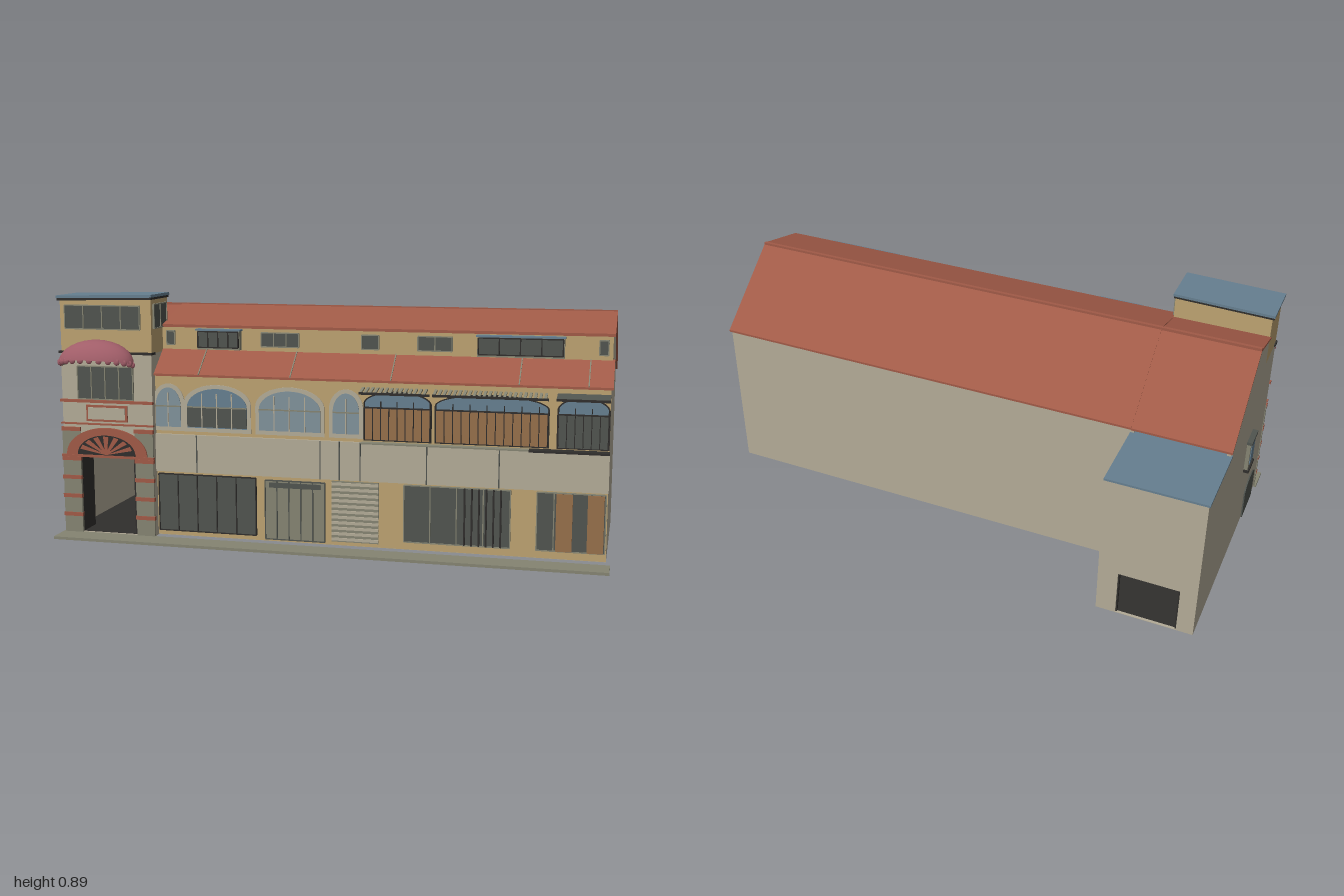
import * as THREE from 'three';

const M = {};
for (const [name, color] of Object.entries({
  cream: 0xb3ab97, tan: 0xbca271, tile: 0xa05a47, slate: 0x667f90, glass: 0x50544f,
  stone: 0x858472, canopy: 0xa05d68, wood: 0x966f4a, charcoal: 0x302e2c, paleGlass: 0x80929b,
})) {
  M[name] = new THREE.MeshStandardMaterial({ color, name });
}
M.canopy.side = THREE.DoubleSide;

export function createModel() {
  const root = new THREE.Group();

  const add = (name, geo, mat, parent = root) => {
    const m = new THREE.Mesh(geo, mat);
    m.name = name;
    parent.add(m);
    return m;
  };
  // Box given by its extents
  const box = (name, mat, x0, x1, y0, y1, z0, z1, parent = root) => {
    const m = add(name, new THREE.BoxGeometry(x1 - x0, y1 - y0, z1 - z0), mat, parent);
    m.position.set((x0 + x1) / 2, (y0 + y1) / 2, (z0 + z1) / 2);
    return m;
  };
  const poly = (pts) => new THREE.Shape(pts.map((p) => new THREE.Vector2(...p)));
  const extrude = (shape, depth) =>
    new THREE.ExtrudeGeometry(shape, { depth, bevelEnabled: false, curveSegments: 12 });
  // Side profile of [z, y] points, extruded along x
  const prism = (name, mat, pts, x0, x1) => {
    const m = add(name, extrude(poly(pts), x1 - x0).rotateY(-Math.PI / 2), mat);
    m.position.x = x1;
    return m;
  };
  const roofSlab = (name, x0, x1, a, b, t = 0.008) =>
    prism(name, M.tile, [a, b, [b[0], b[1] + t], [a[0], a[1] + t]], x0, x1);
  // Front-facing plate from a shape
  const plate = (name, mat, shape, z, t) => {
    const m = add(name, extrude(shape, t), mat);
    m.position.z = z;
    return m;
  };
  const arch = (x0, x1, y0, ys, y1) => {
    const s = new THREE.Shape();
    const cx = (x0 + x1) / 2;
    s.moveTo(x0, y0);
    s.lineTo(x1, y0);
    s.lineTo(x1, ys);
    s.absellipse(cx, ys, (x1 - x0) / 2, y1 - ys, 0, Math.PI, false, 0);
    s.lineTo(x0, y0);
    return s;
  };
  const rectHole = (x0, x1, y0, y1) => poly([[x0, y0], [x0, y1], [x1, y1], [x1, y0]]);
  // Framed window centred on its group origin, facing +z
  const win = (name, x0, x1, y0, y1, z, n, glass = M.glass, frame = M.stone) => {
    const g = new THREE.Group();
    const w = x1 - x0, h = y1 - y0, f = 0.004;
    g.name = name;
    g.position.set((x0 + x1) / 2, (y0 + y1) / 2, z);
    box('pane', glass, -w / 2, w / 2, -h / 2, h / 2, 0, 0.004, g);
    for (let i = 0; i <= n; i++) {
      const x = -w / 2 + (w * i) / n;
      box('mullion', frame, x - f / 2, x + f / 2, -h / 2, h / 2, 0, 0.007, g);
    }
    for (const y of [-h / 2, h / 2]) box('rail', frame, -w / 2, w / 2, y - f / 2, y + f / 2, 0, 0.007, g);
    root.add(g);
    return g;
  };

  // Pavement
  box('pavement', M.stone, -0.99, 1.0, 0, 0.01, 0.4, 0.49);

  // Main hall
  prism('mainBody', M.cream, [[-0.22, 0.01], [0.365, 0.01], [0.365, 0.6], [0.285, 0.68],
    [0.285, 0.77], [0.075, 0.828], [-0.22, 0.597]], -0.63, 0.985);
  box('frontWall', M.tan, -0.63, 0.985, 0.012, 0.6, 0.36, 0.37);
  box('upperWall', M.tan, -0.63, 0.985, 0.68, 0.77, 0.28, 0.288);
  roofSlab('rearRoof', -0.63, 0.992, [-0.226, 0.597], [0.075, 0.83]);
  roofSlab('frontRoof', -0.63, 0.992, [0.075, 0.83], [0.296, 0.769], 0.01);
  roofSlab('skirtRoof', -0.63, 0.992, [0.285, 0.683], [0.382, 0.6]);
  box('ridge', M.tile, -0.985, 0.992, 0.832, 0.842, 0.069, 0.081);
  for (const x of [-0.46, -0.12, 0.24, 0.68, 0.91]) {
    prism('roofSeam', M.stone, [[0.287, 0.689], [0.382, 0.608], [0.382, 0.612], [0.287, 0.693]], x, x + 0.004);
  }

  // Balcony band with panel joints
  box('balconyBand', M.cream, -0.63, 0.987, 0.25, 0.388, 0.365, 0.38);
  for (const x of [-0.47, -0.01, 0.06, 0.135, 0.37, 0.62]) {
    box('bandJoint', M.glass, x - 0.002, x + 0.002, 0.25, 0.388, 0.38, 0.382);
  }
  box('balconyLedge', M.charcoal, 0.72, 0.987, 0.385, 0.392, 0.37, 0.41);
  box('balconyLedge', M.stone, 0.14, 0.72, 0.386, 0.391, 0.37, 0.4);

  // Ground-floor shopfronts
  win('shopWindow', -0.62, -0.25, 0.03, 0.24, 0.37, 5, M.glass, M.charcoal);
  win('shopDoor', -0.215, 0.005, 0.02, 0.235, 0.37, 5, M.stone, M.glass);
  box('shopDoorHead', M.glass, -0.2, -0.01, 0.21, 0.228, 0.37, 0.379);
  box('rollShutter', M.stone, 0.03, 0.2, 0.025, 0.245, 0.37, 0.374);
  for (let i = 0; i < 11; i++) {
    box('shutterSlat', M.cream, 0.03, 0.2, 0.03 + i * 0.02, 0.04 + i * 0.02, 0.37, 0.378);
  }
  win('shopWindow', 0.29, 0.66, 0.04, 0.243, 0.37, 4);
  for (let i = 0; i < 6; i++) {
    box('gateBar', M.charcoal, 0.5 + i * 0.025, 0.506 + i * 0.025, 0.04, 0.243, 0.37, 0.379);
  }
  win('shopDoors', 0.75, 0.98, 0.04, 0.243, 0.37, 4);
  for (const x of [0.815, 0.92]) box('woodDoor', M.wood, x, x + 0.055, 0.04, 0.24, 0.37, 0.379);

  // Arched windows on the first floor
  for (const [x0, x1, glass, n] of [[-0.625, -0.53, M.paleGlass, 2], [-0.505, -0.28, M.slate, 4],
    [-0.235, -0.01, M.paleGlass, 4], [0.035, 0.13, M.paleGlass, 2]]) {
    plate('archTrim', M.cream, arch(x0 - 0.014, x1 + 0.014, 0.4, 0.5, 0.572), 0.37, 0.004);
    plate('archPane', glass, arch(x0, x1, 0.415, 0.49, 0.558), 0.37, 0.007);
    box('transom', M.stone, x0, x1, 0.488, 0.493, 0.37, 0.379);
    if (glass === M.slate) box('lowerPane', M.glass, x0, x1, 0.418, 0.488, 0.37, 0.378);
    for (let i = 1; i < n; i++) {
      const x = x0 + ((x1 - x0) * i) / n;
      box('mullion', M.cream, x - 0.002, x + 0.002, 0.415, 0.54, 0.37, 0.379);
    }
  }
  // Shuttered bays with low arched fanlights
  for (const [x0, x1, n, low] of [[0.15, 0.38, 8, M.wood], [0.4, 0.78, 13, M.wood], [0.815, 0.98, 6, M.glass]]) {
    plate('bayTrim', M.charcoal, arch(x0 - 0.005, x1 + 0.005, 0.395, 0.525, 0.57), 0.37, 0.004);
    plate('fanlight', M.slate, arch(x0, x1, 0.4, 0.525, 0.565), 0.37, 0.007);
    box('shutter', low, x0, x1, 0.4, 0.512, 0.37, 0.38);
    for (let i = 0; i <= n; i++) {
      const x = x0 + ((x1 - x0) * i) / n;
      box('shutterBar', M.charcoal, x - 0.0015, x + 0.0015, 0.4, i % 2 ? 0.512 : 0.535, 0.37, 0.383);
    }
    box('shutterRail', M.charcoal, x0, x1, 0.51, 0.515, 0.37, 0.383);
  }
  // Slatted sunshades
  for (const [x0, x1] of [[0.14, 0.385], [0.395, 0.785], [0.81, 0.985]]) {
    const solid = x0 > 0.8;
    const n = Math.round((x1 - x0) / 0.017);
    const tilt = (name, a, b, mat) => prism(name, mat, [[0.37, 0.577], [0.428, 0.566], [0.428, 0.571], [0.37, 0.583]], a, b);
    if (solid) tilt('sunshade', x0, x1, M.glass);
    else for (let i = 0; i < n; i++) tilt('sunshadeSlat', x0 + i * 0.017, x0 + i * 0.017 + 0.009, M.stone);
    box('sunshadeEdge', M.charcoal, x0, x1, 0.564, 0.572, 0.424, 0.43);
  }

  // Attic windows
  for (const [x0, x1, n] of [[-0.61, -0.58, 1], [-0.25, -0.11, 3], [0.12, 0.18, 1], [0.32, 0.44, 2], [0.94, 0.97, 1]]) {
    win('atticWindow', x0, x1, 0.705, 0.755, 0.288, n);
  }
  for (const [x0, x1, n] of [[-0.485, -0.325, 4], [0.53, 0.825, 4]]) {
    box('dormer', M.stone, x0, x1, 0.692, 0.76, 0.28, 0.314);
    box('dormerRoof', M.slate, x0 - 0.004, x1 + 0.004, 0.76, 0.766, 0.28, 0.322);
    win('dormerWindow', x0 + 0.004, x1 - 0.004, 0.7, 0.757, 0.314, n, M.glass, M.charcoal);
  }

  // Side wing walls, passage and roofs
  const wing = [[-0.5, 0.01], [0.39, 0.01], [0.39, 0.69], [0.24, 0.69], [0.24, 0.785],
    [0.075, 0.828], [-0.22, 0.597], [-0.22, 0.575], [-0.5, 0.575]];
  prism('wingLeftWall', M.cream, wing, -0.98, -0.965);
  prism('wingRightWall', M.cream, wing, -0.64, -0.628);
  const wall = (name, z, y1, holeTop) => {
    const s = poly([[-0.98, 0.01], [-0.628, 0.01], [-0.628, y1], [-0.98, y1]]);
    s.holes.push(rectHole(-0.92, -0.7, 0.012, holeTop));
    plate(name, M.cream, s, z, 0.02);
  };
  wall('gateWall', 0.38, 0.68, 0.3);
  wall('rearGateWall', -0.5, 0.575, 0.19);
  box('passageFloor', M.charcoal, -0.965, -0.64, 0.004, 0.013, -0.49, 0.395);
  box('passageCeiling', M.stone, -0.965, -0.64, 0.32, 0.33, -0.48, 0.38);
  box('annexRoof', M.slate, -0.984, -0.626, 0.575, 0.583, -0.5, -0.21);
  roofSlab('wingRearRoof', -0.985, -0.63, [-0.226, 0.595], [0.075, 0.828]);
  roofSlab('wingFrontRoof', -0.985, -0.63, [0.075, 0.828], [0.24, 0.785]);
  for (const x of [-0.92, -0.705]) box('rearGatePost', M.charcoal, x, x + 0.006, 0.012, 0.19, -0.495, -0.485);

  // Tower top
  box('towerTop', M.tan, -0.98, -0.628, 0.68, 0.877, 0.24, 0.395);
  const cap = box('towerRoof', M.slate, -0.99, -0.622, 0.878, 0.888, 0.23, 0.405);
  cap.rotation.z = 0.02;
  const edge = box('towerRoofEdge', M.charcoal, -0.988, -0.624, 0.87, 0.878, 0.232, 0.403);
  edge.rotation.z = 0.02;
  win('towerWindow', -0.96, -0.67, 0.765, 0.85, 0.395, 4);
  const side = win('towerSideWindow', -0.06, 0.06, 0.77, 0.856, 0, 2);
  side.position.set(-0.628, 0.813, 0.318);
  side.rotation.y = Math.PI / 2;
  box('cornice', M.charcoal, -0.985, -0.623, 0.676, 0.684, 0.37, 0.408);

  // Tower front: window, canopy, sign panel
  win('balconyWindow', -0.915, -0.7, 0.51, 0.63, 0.4, 4);
  const dome = add('canopy', new THREE.SphereGeometry(1, 20, 8, 0, Math.PI, 0, Math.PI / 2), M.canopy);
  dome.scale.set(0.145, 0.088, 0.07);
  dome.position.set(-0.83, 0.642, 0.425);
  dome.rotation.x = -0.28;
  for (let i = 0; i <= 12; i++) {
    const a = (Math.PI * i) / 12;
    const s = add('canopyScallop', new THREE.SphereGeometry(0.012, 8, 6), M.canopy);
    s.position.set(-0.83 + Math.cos(a) * 0.138, 0.642 + Math.sin(a) * 0.018, 0.425 + Math.sin(a) * 0.06);
    s.scale.z = 0.5;
  }
  for (const x of [-0.965, -0.7]) box('canopyBracket', M.stone, x, x + 0.008, 0.635, 0.643, 0.4, 0.44);
  box('brickBand', M.tile, -0.985, -0.625, 0.497, 0.507, 0.395, 0.41);
  box('brickBand', M.tile, -0.985, -0.625, 0.415, 0.421, 0.395, 0.408);
  box('signFrame', M.tile, -0.885, -0.725, 0.428, 0.488, 0.4, 0.405);
  box('signPanel', M.cream, -0.877, -0.733, 0.436, 0.48, 0.4, 0.408);

  // Gate pillars with brick courses
  for (const x of [-0.983, -0.698]) {
    box('gatePillar', M.stone, x, x + 0.07, 0.01, 0.4, 0.395, 0.405);
    for (const y of [0.07, 0.14, 0.21, 0.28, 0.39]) {
      box('brickCourse', M.tile, x - 0.002, x + 0.072, y, y + 0.014, 0.395, 0.409);
    }
  }
  for (const x of [-0.92, -0.708]) box('gateLeaf', M.charcoal, x, x + 0.008, 0.012, 0.3, 0.3, 0.395);

  // Fan pediment over the gate
  plate('pediment', M.tile, arch(-0.965, -0.65, 0.295, 0.305, 0.405), 0.4, 0.01);
  plate('pedimentInset', M.charcoal, arch(-0.92, -0.695, 0.305, 0.308, 0.378), 0.41, 0.002);
  for (let i = 1; i < 8; i++) {
    const a = (Math.PI * i) / 8;
    const c = Math.cos(a), s = Math.sin(a);
    const ray = poly([[-0.8075 - s * 0.004, 0.307], [-0.8075 + s * 0.004, 0.307],
      [-0.8075 + c * 0.105 + s * 0.01, 0.308 + s * 0.066 - c * 0.008],
      [-0.8075 + c * 0.105 - s * 0.01, 0.308 + s * 0.066 + c * 0.008]]);
    plate('pedimentRay', M.tile, ray, 0.412, 0.003);
  }
  box('pedimentSill', M.tile, -0.985, -0.625, 0.295, 0.303, 0.395, 0.412);

  // Left side: blind arch door and box window
  const door = plate('sideDoor', M.glass, arch(-0.075, 0.075, 0.012, 0.13, 0.16), 0, 0.005);
  door.position.set(-0.98, 0, 0.255);
  door.rotation.y = -Math.PI / 2;
  box('sideWindowBox', M.stone, -0.994, -0.978, 0.31, 0.43, 0.085, 0.16);
  box('sideWindowHood', M.glass, -1.0, -0.978, 0.428, 0.44, 0.078, 0.167);
  box('sideWindowPane', M.slate, -0.997, -0.99, 0.33, 0.415, 0.097, 0.148);
  box('sideWindowSill', M.charcoal, -1.0, -0.978, 0.302, 0.312, 0.08, 0.165);

  return root;
}
